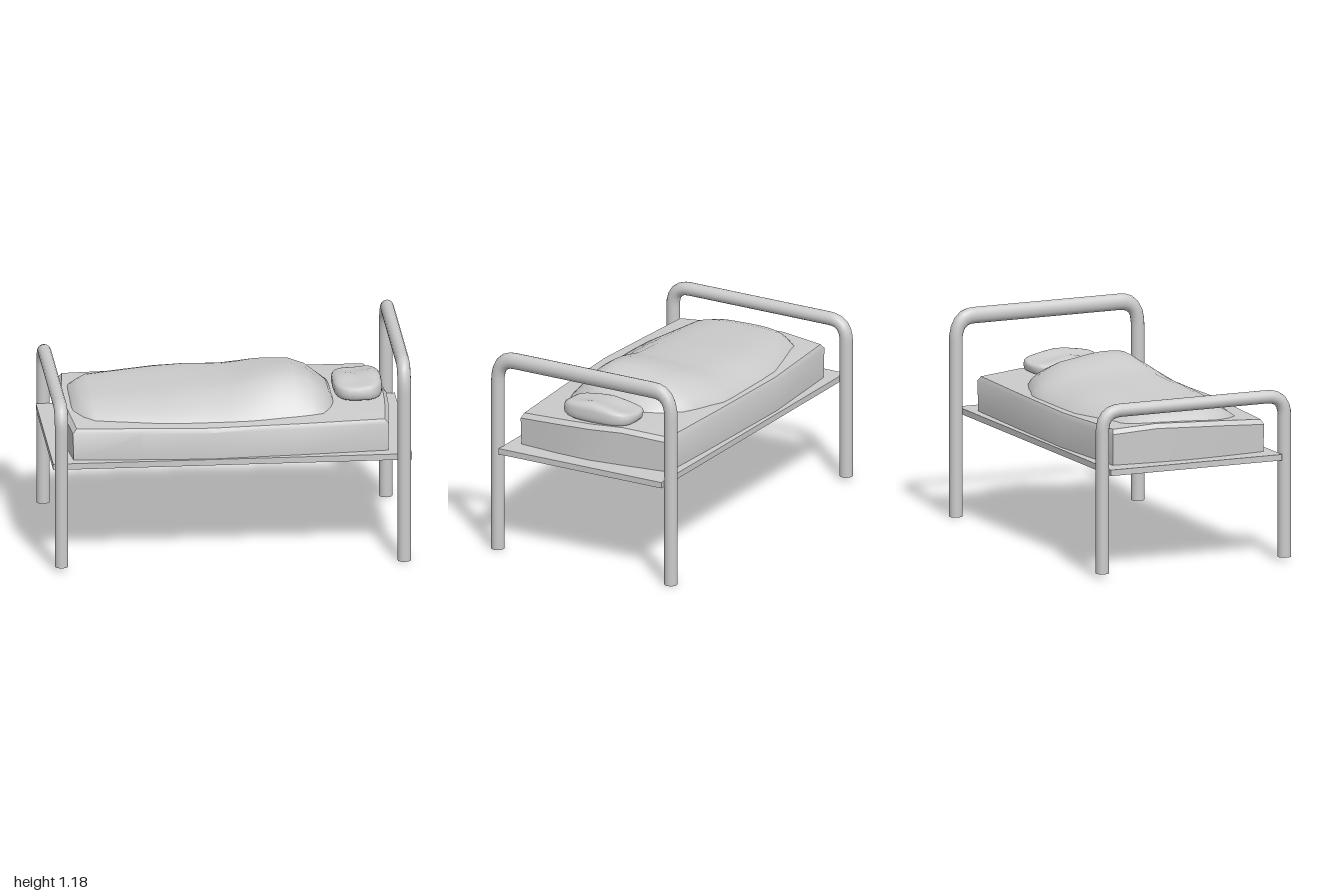
import * as THREE from 'three';
import { toCreasedNormals, mergeVertices } from 'three/addons/utils/BufferGeometryUtils.js';

const grey = new THREE.MeshStandardMaterial({ color: 0xcccccc });
const greyDouble = new THREE.MeshStandardMaterial({ color: 0xcccccc, side: THREE.DoubleSide });

// Piecewise linear lookup in a list of [position, value]
function lookup(table, p) {
  if (p <= table[0][0]) return table[0][1];
  for (let i = 1; i < table.length; i++) {
    const [a, va] = table[i - 1], [b, vb] = table[i];
    if (p <= b) return va + (vb - va) * (p - a) / (b - a);
  }
  return table[table.length - 1][1];
}

// Skin a list of equally long rings of [x, y, z]
function loft(rings, closed) {
  const n = rings[0].length, index = [];
  for (let j = 0; j < rings.length - 1; j++) {
    for (let k = 0; k < (closed ? n : n - 1); k++) {
      const a = j * n + k, b = j * n + (k + 1) % n;
      index.push(a, a + n, b, b, a + n, b + n);
    }
  }
  const geo = new THREE.BufferGeometry();
  geo.setAttribute('position', new THREE.Float32BufferAttribute(rings.flat(2), 3));
  geo.setIndex(index);
  geo.computeVertexNormals();
  return geo;
}

function part(name, geo, material) {
  const mesh = new THREE.Mesh(geo, material);
  mesh.name = name;
  return mesh;
}

// Bent tube: two legs and a top bar
function endFrame(name) {
  const v = (y, z) => new THREE.Vector3(0, y, z);
  const path = new THREE.CurvePath();
  path.add(new THREE.LineCurve3(v(0, 0.558), v(0.8, 0.558)));
  path.add(new THREE.QuadraticBezierCurve3(v(0.8, 0.558), v(0.9125, 0.558), v(0.9125, 0.45)));
  path.add(new THREE.LineCurve3(v(0.9125, 0.45), v(0.9125, -0.45)));
  path.add(new THREE.QuadraticBezierCurve3(v(0.9125, -0.45), v(0.9125, -0.558), v(0.8, -0.558)));
  path.add(new THREE.LineCurve3(v(0.8, -0.558), v(0, -0.558)));
  return part(name, new THREE.TubeGeometry(path, 90, 0.0375, 16), greyDouble);
}

// Height of the mattress top, tilted across the bed
const mattressTop = z => lookup([[-0.5, 0.805], [-0.25, 0.828], [0.1, 0.815], [0.5, 0.787]], z);

function mattress() {
  const outline = [[0.905, 0], [0.9, 0.2], [0.878, 0.455], [0.4, 0.49], [-0.12, 0.518], [-0.5, 0.495],
    [-0.885, 0.468], [-0.91, 0.2], [-0.92, 0], [-0.91, -0.2], [-0.885, -0.46], [-0.3, -0.503],
    [0.3, -0.493], [0.84, -0.478], [0.88, -0.2]];
  const ring = (scale, height) => outline.map(([x, z]) => [x * scale, height(z * scale), z * scale]);
  const rings = [
    ring(0.995, () => 0.608),
    ring(1, z => mattressTop(z) - 0.025),
    ...[0.975, 0.7, 0.35, 0].map(s => ring(s, mattressTop)),
  ];
  return part('mattress', toCreasedNormals(loft(rings, true), 0.5), greyDouble);
}

// Cover draped over a lying body: cross-sections along x
function blanket() {
  const sections = [ // x, back z, front z, crest height
    [-0.87, -0.19, 0.19, 0.80], [-0.855, -0.22, 0.22, 0.835], [-0.81, -0.28, 0.3, 0.868],
    [-0.75, -0.35, 0.36, 0.882], [-0.56, -0.405, 0.395, 0.89], [-0.37, -0.455, 0.43, 0.9],
    [-0.2, -0.46, 0.435, 0.917], [0, -0.46, 0.435, 0.926], [0.1, -0.46, 0.43, 0.95],
    [0.19, -0.455, 0.418, 0.972], [0.28, -0.42, 0.4, 0.986], [0.37, -0.39, 0.385, 0.989],
    [0.46, -0.352, 0.368, 0.955], [0.525, -0.28, 0.35, 0.905], [0.57, -0.21, 0.27, 0.865],
    [0.59, -0.19, 0.21, 0.825], [0.597, -0.18, 0.2, 0.795]];
  const ridge = [[-1, 0], [-0.93, 0.25], [-0.75, 0.52], [-0.5, 0.76], [0, 0.95], [0.25, 1],
    [0.5, 0.94], [0.7, 0.65], [0.88, 0.27], [1, 0]];
  const columns = 18;
  const rings = sections.map(([x, back, front, crest]) => {
    const body = THREE.MathUtils.smoothstep(x, -0.5, 0.3);
    return Array.from({ length: columns + 1 }, (_, k) => {
      const u = Math.cos(Math.PI * k / columns);
      const z = (back + front) / 2 + u * (front - back) / 2;
      const base = mattressTop(z) - 0.008;
      const flat = (1 - u ** 4) * (1 - 0.12 * u);
      const rise = THREE.MathUtils.lerp(flat, lookup(ridge, u), body);
      return [x, base + (crest - base) * rise, z];
    });
  });
  return part('blanket', loft(rings, false), greyDouble);
}

// Squashed ball with boxy corners and a dented top
function pillow() {
  let geo = new THREE.SphereGeometry(1, 24, 16);
  geo.deleteAttribute('uv');
  geo.deleteAttribute('normal');
  geo = mergeVertices(geo);
  const pos = geo.attributes.position;
  const boxy = t => Math.sign(t) * Math.abs(t) ** 0.62;
  for (let i = 0; i < pos.count; i++) {
    const x = boxy(pos.getX(i)), y = boxy(pos.getY(i)), z = boxy(pos.getZ(i));
    const top = 0.055 + 0.014 * x + 0.012 * z + 0.008 * Math.cos(5 * z) - 0.01 * Math.cos(3 * x);
    pos.setXYZ(i, 0.738 + 0.137 * x, 0.858 + y * (y > 0 ? top : 0.055), 0.002 + 0.222 * z);
  }
  geo.computeVertexNormals();
  return part('pillow', geo, grey);
}

export function createModel() {
  const bed = new THREE.Group();
  bed.name = 'bed';

  const headFrame = endFrame('headFrame');
  headFrame.position.x = 0.953;
  headFrame.scale.y = 1.237;
  const footFrame = endFrame('footFrame');
  footFrame.position.set(-0.957, 0.022, 0);

  const base = part('bedBase', new THREE.BoxGeometry(2, 0.034, 1.05), grey);
  base.position.y = 0.593;

  bed.add(headFrame, footFrame, base, mattress(), blanket(), pillow());
  return bed;
}
